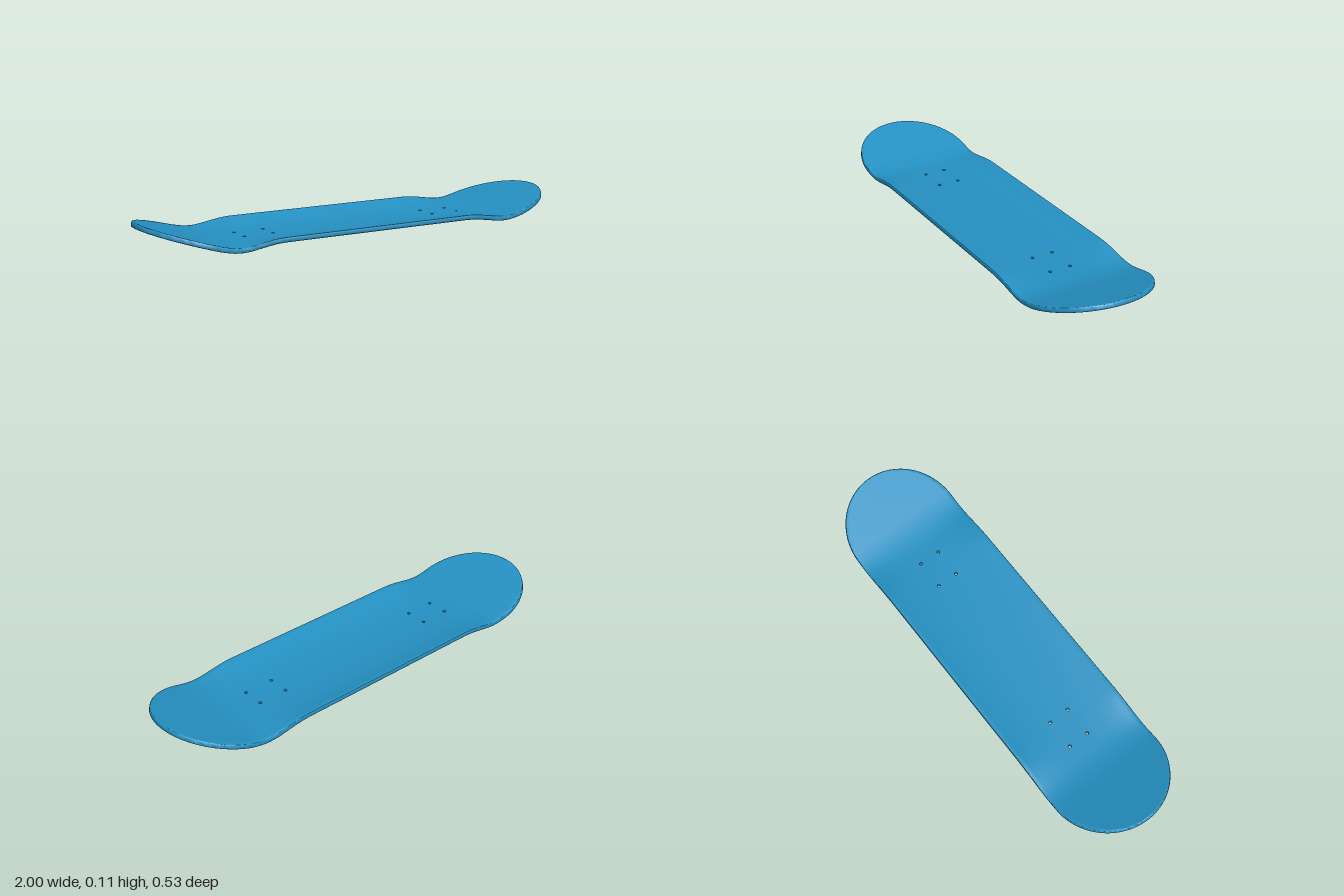
import * as THREE from 'three';
import { toCreasedNormals } from 'three/addons/utils/BufferGeometryUtils.js';

const HALF_WIDTH = 0.267, STRAIGHT = 0.73, THICK = 0.022, FILLET = 0.005;
const HOLE_R = 0.007, CELL = 0.012;              // bolt hole and the grid cell around it
const HOLE_X = [-0.54, -0.405, 0.405, 0.54], HOLE_Z = [-0.048, 0.048];
const W = HALF_WIDTH - FILLET, END = 1 - FILLET - STRAIGHT;

// Bends a plan position: raised side edges (concave) and kicked-up ends
function bend(x, z, h) {
  const ax = Math.abs(x), a = 0.6, b = 0.76, slope = 0.29;
  const t = THREE.MathUtils.clamp((ax - a) / (b - a), 0, 1);
  const s = slope * t;
  const kick = ax < b ? s * (ax - a) * 0.5 * (t > 0 ? 1 : 0) : slope * (ax - (a + b) / 2);
  const concave = 0.028 * (1 - THREE.MathUtils.smoothstep(ax, 0.45, 0.69)) * Math.pow(Math.abs(z) / HALF_WIDTH, 2.5);
  const c = 1 / Math.hypot(1, s);
  return new THREE.Vector3(x - Math.sign(x) * s * c * h, kick + concave + c * h, z);
}

// Evenly spaced grid lines, rearranged so each hole sits in its own cell
function gridLines(half, count, centres) {
  const lines = [];
  for (let i = 0; i <= count; i++) {
    const v = -half + (2 * half * i) / count;
    if (centres.every(c => Math.abs(v - c) > CELL * 1.3)) lines.push(v);
  }
  centres.forEach(c => lines.push(c - CELL, c + CELL));
  return lines.sort((p, q) => p - q);
}

function deckGeometry() {
  const pos = [];
  const tri = (a, b, c) => {
    if (a.distanceTo(b) < 1e-7 || b.distanceTo(c) < 1e-7 || c.distanceTo(a) < 1e-7) return;
    for (const p of [a, b, c]) pos.push(p.x, p.y, p.z);
  };
  const quad = (a, b, c, d) => { tri(a, b, c); tri(a, c, d); };

  // Stations along the length: x, half width and outward edge normal
  const stations = gridLines(STRAIGHT, 64, HOLE_X).map(x => ({ x, w: W, nx: 0, nz: 1 }));
  for (let i = 1; i <= 24; i++) {
    const a = (i / 24) * Math.PI / 2, last = i === 24;
    const n = new THREE.Vector2(Math.sin(a) / END, last ? 0 : Math.cos(a) / W).normalize();
    const x = STRAIGHT + END * Math.sin(a), w = last ? 0 : W * Math.cos(a);
    stations.push({ x, w, nx: n.x, nz: n.y });
    stations.unshift({ x: -x, w, nx: -n.x, nz: n.y });
  }
  const rows = gridLines(W, 32, HOLE_Z).map(z => z / W);
  const isHole = (x, z) => HOLE_X.some(c => Math.abs(c - x) < 1e-4) && HOLE_Z.some(c => Math.abs(c - z) < 1e-4);

  // Top and bottom skins
  for (let i = 0; i < stations.length - 1; i++) {
    const s = stations[i], e = stations[i + 1];
    for (let j = 0; j < rows.length - 1; j++) {
      const t = rows[j], u = rows[j + 1];
      if (isHole((s.x + e.x) / 2, W * (t + u) / 2)) continue;
      const cell = h => [bend(s.x, t * s.w, h), bend(s.x, u * s.w, h), bend(e.x, u * e.w, h), bend(e.x, t * e.w, h)];
      quad(...cell(THICK));
      quad(...cell(0).reverse());
    }
  }

  // Bolt holes: surrounding skin and inner wall
  for (const hx of HOLE_X) for (const hz of HOLE_Z) {
    const at = (k, h, outer) => {
      const a = (k / 16) * Math.PI * 2, c = Math.cos(a), s = Math.sin(a);
      const r = outer ? CELL / Math.max(Math.abs(c), Math.abs(s)) : HOLE_R;
      return bend(hx + r * c, hz + r * s, h);
    };
    for (let k = 0; k < 16; k++) {
      const ring = h => [at(k, h, false), at(k + 1, h, false), at(k + 1, h, true), at(k, h, true)];
      quad(...ring(THICK));
      quad(...ring(0).reverse());
      quad(at(k, THICK, false), at(k, 0, false), at(k + 1, 0, false), at(k + 1, THICK, false));
    }
  }

  // Rounded rim swept around the outline
  const profile = [];
  for (let k = 0; k <= 4; k++) {
    const a = (k / 4) * Math.PI / 2;
    profile.push([FILLET * Math.sin(a), THICK - FILLET * (1 - Math.cos(a))]);
  }
  for (let k = 4; k >= 0; k--) profile.push([profile[k][0], THICK - profile[k][1]]);
  const outline = stations.map(s => ({ x: s.x, z: s.w, nx: s.nx, nz: s.nz }));
  for (let i = stations.length - 2; i >= 0; i--) {
    const s = stations[i];
    outline.push({ x: s.x, z: -s.w, nx: s.nx, nz: -s.nz });
  }
  const rim = (p, [out, h]) => bend(p.x + p.nx * out, p.z + p.nz * out, h);
  for (let i = 0; i < outline.length - 1; i++) {
    const p = outline[i], q = outline[i + 1];
    for (let k = 0; k < profile.length - 1; k++) {
      quad(rim(p, profile[k]), rim(p, profile[k + 1]), rim(q, profile[k + 1]), rim(q, profile[k]));
    }
  }

  const geometry = new THREE.BufferGeometry();
  geometry.setAttribute('position', new THREE.Float32BufferAttribute(pos, 3));
  return toCreasedNormals(geometry, 0.7);
}

export function createModel() {
  const group = new THREE.Group();
  group.name = 'skateboardDeck';
  const deck = new THREE.Mesh(deckGeometry(), new THREE.MeshStandardMaterial({ color: 0x2592c4 }));
  deck.name = 'deck';
  group.add(deck);
  return group;
}
